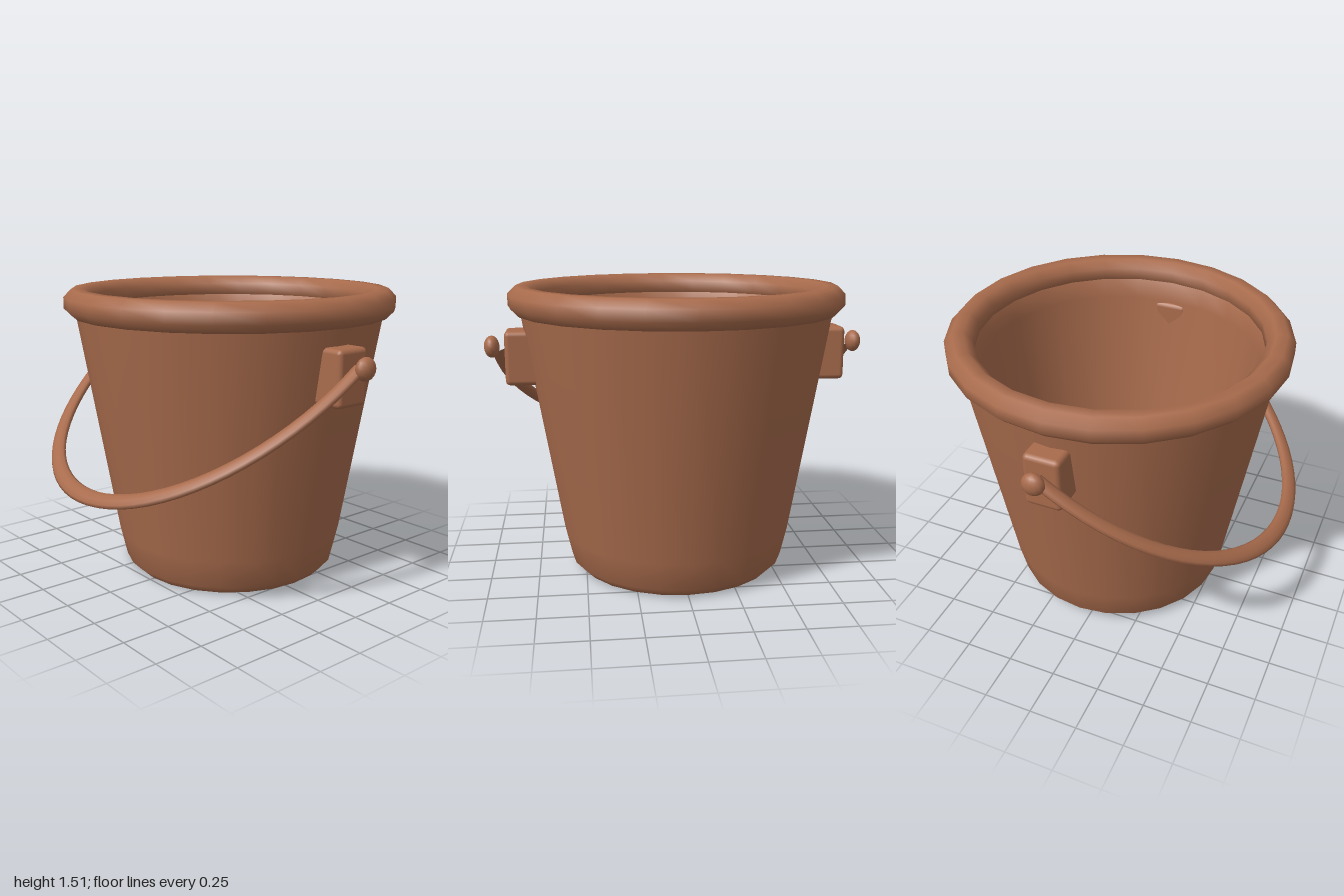
import * as THREE from 'three';
import { RoundedBoxGeometry } from 'three/addons/geometries/RoundedBoxGeometry.js';

export function createModel() {
  const bucket = new THREE.Group();
  bucket.name = 'bucket';
  const clay = new THREE.MeshStandardMaterial({ color: 0xa86b4c });
  clay.name = 'brown';
  const SIDES = 24;
  const CENTRE_Z = -0.05;
  const PIVOT_Y = 1.2;

  const add = (name, geometry, x = 0, y = 0) => {
    const mesh = new THREE.Mesh(geometry, clay);
    mesh.name = name;
    mesh.position.set(x, y, CENTRE_Z);
    bucket.add(mesh);
    return mesh;
  };
  const lathe = (points) =>
    new THREE.LatheGeometry(points.map(([r, y]) => new THREE.Vector2(r, y)), SIDES);

  // Tapered wall: up the outside, then down the inside to the floor
  add('wall', lathe([
    [0, 0], [0.48, 0], [0.53, 0.005], [0.575, 0.05], [0.61, 0.2], [0.81, 1.38], [0.8, 1.44],
    [0.74, 1.44], [0.725, 1.3], [0.57, 0.2], [0.54, 0.1], [0.5, 0.07], [0, 0.07],
  ]));

  // Thick rolled rim with an octagonal section
  const section = [];
  for (let i = 0; i <= 8; i++) {
    const a = -Math.PI * 0.625 + (i * Math.PI) / 4;
    section.push([0.8 + 0.076 * Math.cos(a), 1.443 + 0.076 * Math.sin(a)]);
  }
  add('rim', lathe(section));

  // Lugs and pivot knobs on both sides
  for (const [side, s] of [['left', 1], ['right', -1]]) {
    add(side + 'Lug', new RoundedBoxGeometry(0.185, 0.28, 0.19, 2, 0.025), s * 0.798, 1.147);
    const knob = add(side + 'Knob', new THREE.SphereGeometry(0.057, 14, 10), s * 0.96, PIVOT_Y);
    knob.scale.x = 0.7;
  }

  // Flattened half-ellipse handle, swung down over the front
  const handle = add('handle', new THREE.TorusGeometry(0.927, 0.037, 10, 40, Math.PI), 0, PIVOT_Y);
  handle.scale.set(1, 1.225, 0.62);
  handle.rotation.x = THREE.MathUtils.degToRad(125);

  return bucket;
}
